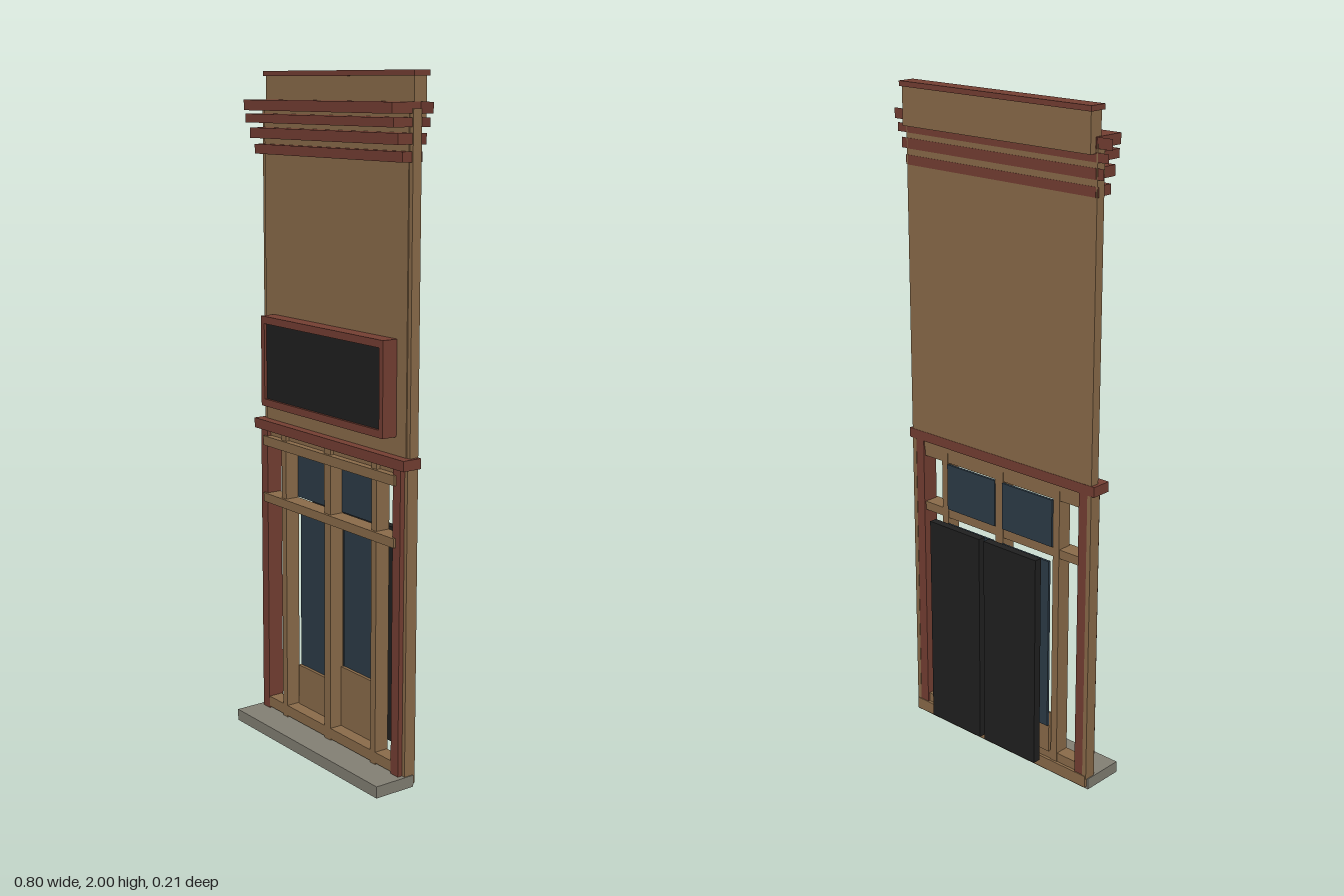
import * as THREE from 'three';

const mat = (name, color, side = THREE.FrontSide) => {
  const m = new THREE.MeshStandardMaterial({ color, side });
  m.name = name;
  return m;
};

export function createModel() {
  const model = new THREE.Group();
  model.name = 'shopFront';
  const tan = mat('tan paint', 0x8b6c4a);
  const red = mat('red brown trim', 0x753f33);
  const redThin = red.clone();
  redThin.side = THREE.DoubleSide;
  const black = mat('black board', 0x202020);
  const glass = mat('blue grey glass', 0x2d3c48);
  const stone = mat('grey stone', 0x838074);

  // box given by its limits on each axis
  const box = (name, m, x0, x1, y0, y1, z0, z1) => {
    const mesh = new THREE.Mesh(new THREE.BoxGeometry(x1 - x0, y1 - y0, z1 - z0), m);
    mesh.position.set((x0 + x1) / 2, (y0 + y1) / 2, (z0 + z1) / 2);
    mesh.name = name;
    model.add(mesh);
    return mesh;
  };
  // the same box on both sides of x = 0
  const pair = (name, m, x0, x1, ...rest) => {
    box(name + 'Left', m, x0, x1, ...rest);
    box(name + 'Right', m, -x1, -x0, ...rest);
  };

  // base
  box('sill', stone, -0.355, 0.355, 0, 0.035, -0.028, 0.105);
  box('threshold', tan, -0.35, 0.35, 0.008, 0.045, -0.037, 0);

  // upper wall, edge strips and parapet
  box('upperWall', tan, -0.338, 0.338, 0.96, 1.9, -0.035, -0.003);
  pair('wallEdge', tan, 0.338, 0.352, 0.96, 1.9, -0.035, -0.006);
  box('parapet', tan, -0.345, 0.345, 1.875, 1.985, -0.056, -0.014);
  box('parapetCap', red, -0.351, 0.351, 1.985, 2, -0.062, -0.008);

  // stepped cornice: bottom, top, front, half width of the back plate
  [
    [1.762, 1.79, 0.026, 0.357],
    [1.808, 1.838, 0.042, 0.373],
    [1.853, 1.878, 0.058, 0.388],
    [1.888, 1.918, 0.063, 0.4],
  ].forEach(([y0, y1, z, half], i) => {
    box('corniceStep' + i, red, -0.348, 0.348, y0, y1, -0.036, z);
    for (const s of [-1, 1]) {
      const end = new THREE.Mesh(new THREE.PlaneGeometry(half - 0.348, y1 - y0), redThin);
      end.position.set(s * (half + 0.348) / 2, (y0 + y1) / 2, -0.034);
      end.name = 'corniceEnd' + i;
      model.add(end);
    }
  });

  // sign board in a raised frame
  box('signBoard', black, -0.28, 0.28, 1.035, 1.267, -0.003, 0.037);
  pair('signFrameSide', red, 0.278, 0.295, 1.015, 1.287, -0.003, 0.045);
  box('signFrameTop', red, -0.278, 0.278, 1.265, 1.287, -0.003, 0.045);
  box('signFrameBottom', red, -0.278, 0.278, 1.015, 1.037, -0.003, 0.045);

  // lintel and corner posts
  box('lintel', red, -0.363, 0.363, 0.933, 0.963, -0.036, 0.026);
  pair('post', red, 0.307, 0.34, 0.035, 0.935, -0.034, 0.017);
  pair('jamb', tan, 0.338, 0.352, 0.035, 0.935, -0.035, 0.002);

  // window framing
  box('centreMullion', tan, -0.015, 0.015, 0.035, 0.935, -0.03, 0.016);
  pair('mullion', tan, 0.21, 0.233, 0.035, 0.935, -0.03, 0.016);
  box('headRail', tan, -0.31, 0.31, 0.915, 0.935, -0.03, 0.005);
  box('topRail', tan, -0.32, 0.32, 0.885, 0.914, -0.028, 0.024);
  box('transom', tan, -0.32, 0.32, 0.708, 0.735, -0.028, 0.024);
  box('bottomRail', tan, -0.31, 0.31, 0.04, 0.073, -0.028, 0.016);

  // glazing and kick panels; the two doors have panels of different height
  pair('upperGlass', glass, 0.015, 0.208, 0.738, 0.882, -0.034, -0.026);
  for (const [side, x0, x1, h] of [['Left', 0.015, 0.203, 0.26], ['Right', -0.205, -0.018, 0.2]]) {
    box('doorGlass' + side, glass, x0, x1, 0.16, 0.694, -0.042, -0.034);
    box('kickPanel' + side, tan, x0, x1, 0.07, h, -0.034, -0.024);
  }

  // dark boards standing behind the doors
  pair('backBoard', black, 0.009, 0.211, 0.065, 0.72, -0.106, -0.082);

  return model;
}
